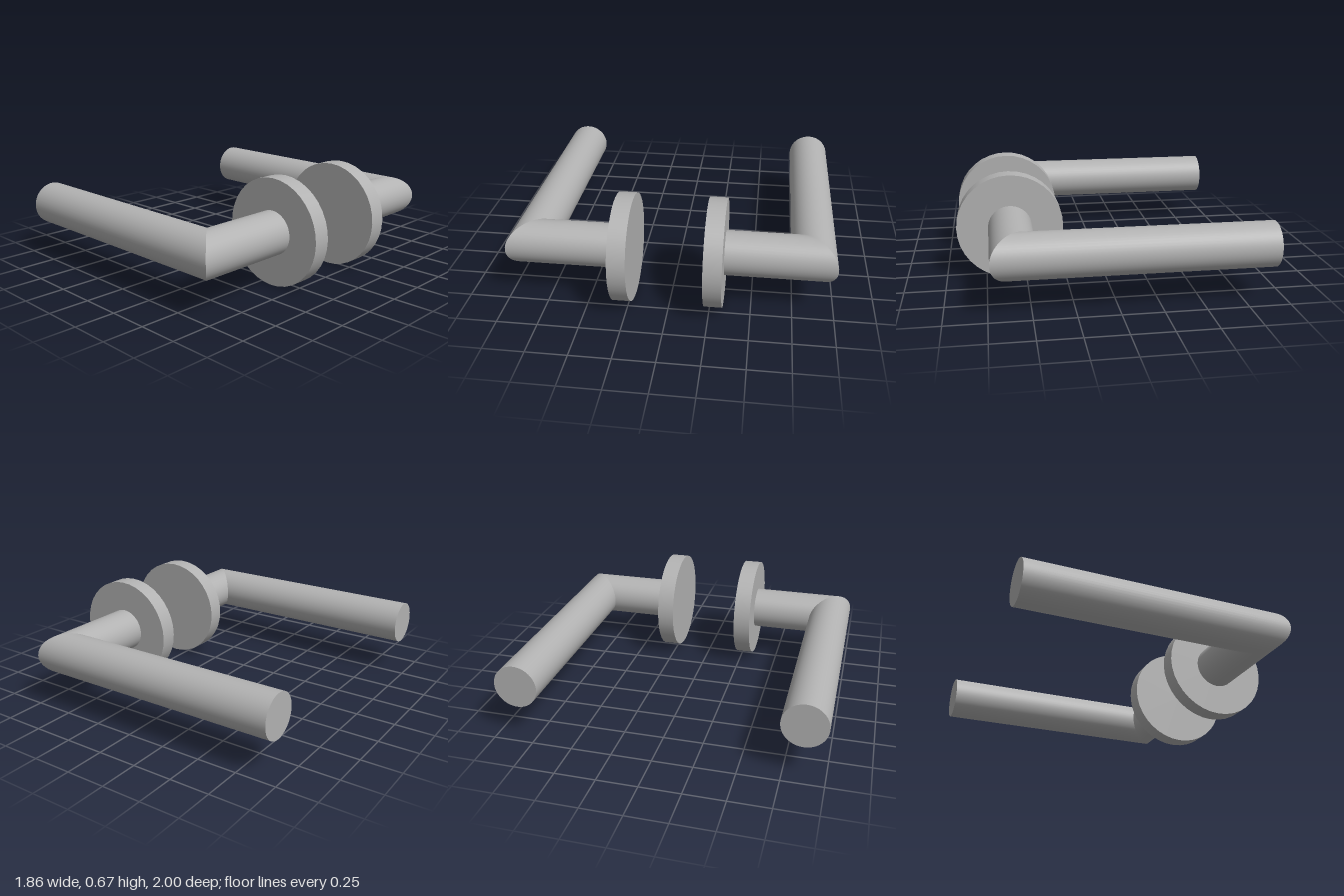
import * as THREE from 'three';

const R = 0.137;          // tube radius
const Y = 0.333;          // height of the spindle axis
const NECK_X = 0.594;     // spindle axis in x
const GRIP_Z = 0.863;     // grip axis distance from the middle
const END_X = -0.93;      // free end of the grip
const ROSE_IN = 0.222, ROSE_OUT = 0.332;

export function createModel() {
  const metal = new THREE.MeshStandardMaterial({ color: 0xb2b2b2 });
  metal.name = 'brushedMetal';
  const model = new THREE.Group();
  model.name = 'doorHandlePair';

  const add = (group, name, geometry) => {
    const mesh = new THREE.Mesh(geometry, metal);
    mesh.name = name;
    group.add(mesh);
  };

  // Slides one end ring of a tube along its axis onto the mitre plane
  const mitre = (geometry, rule) => {
    const p = geometry.attributes.position;
    for (let i = 0; i < p.count; i++) rule(p, i);
    return geometry;
  };

  for (const s of [1, -1]) {
    const handle = new THREE.Group();
    handle.name = s > 0 ? 'frontHandle' : 'backHandle';

    // Round rose plate
    const rose = new THREE.CylinderGeometry(0.333, 0.333, ROSE_OUT - ROSE_IN, 36);
    rose.rotateX(Math.PI / 2).translate(NECK_X, Y, s * (ROSE_IN + ROSE_OUT) / 2);
    add(handle, 'rose', rose);

    // Neck running out from the rose to the mitre
    const neck = new THREE.CylinderGeometry(R, R, GRIP_Z - ROSE_OUT, 48, 1, true);
    neck.rotateX(Math.PI / 2).translate(NECK_X, Y, s * (GRIP_Z + ROSE_OUT) / 2);
    add(handle, 'neck', mitre(neck, (p, i) => {
      if (Math.abs(p.getZ(i)) > 0.6) p.setZ(i, s * (GRIP_Z + p.getX(i) - NECK_X));
    }));

    // Grip running from the mitre to the free end
    const grip = new THREE.CylinderGeometry(R, R, NECK_X - END_X, 48, 1, true);
    grip.rotateZ(Math.PI / 2).translate((NECK_X + END_X) / 2, Y, s * GRIP_Z);
    add(handle, 'grip', mitre(grip, (p, i) => {
      if (p.getX(i) > 0) p.setX(i, NECK_X + s * p.getZ(i) - GRIP_Z);
    }));

    // Flat end of the grip
    const cap = new THREE.CircleGeometry(R, 48);
    cap.rotateY(-Math.PI / 2).translate(END_X, Y, s * GRIP_Z);
    add(handle, 'gripEnd', cap);

    model.add(handle);
  }
  return model;
}
